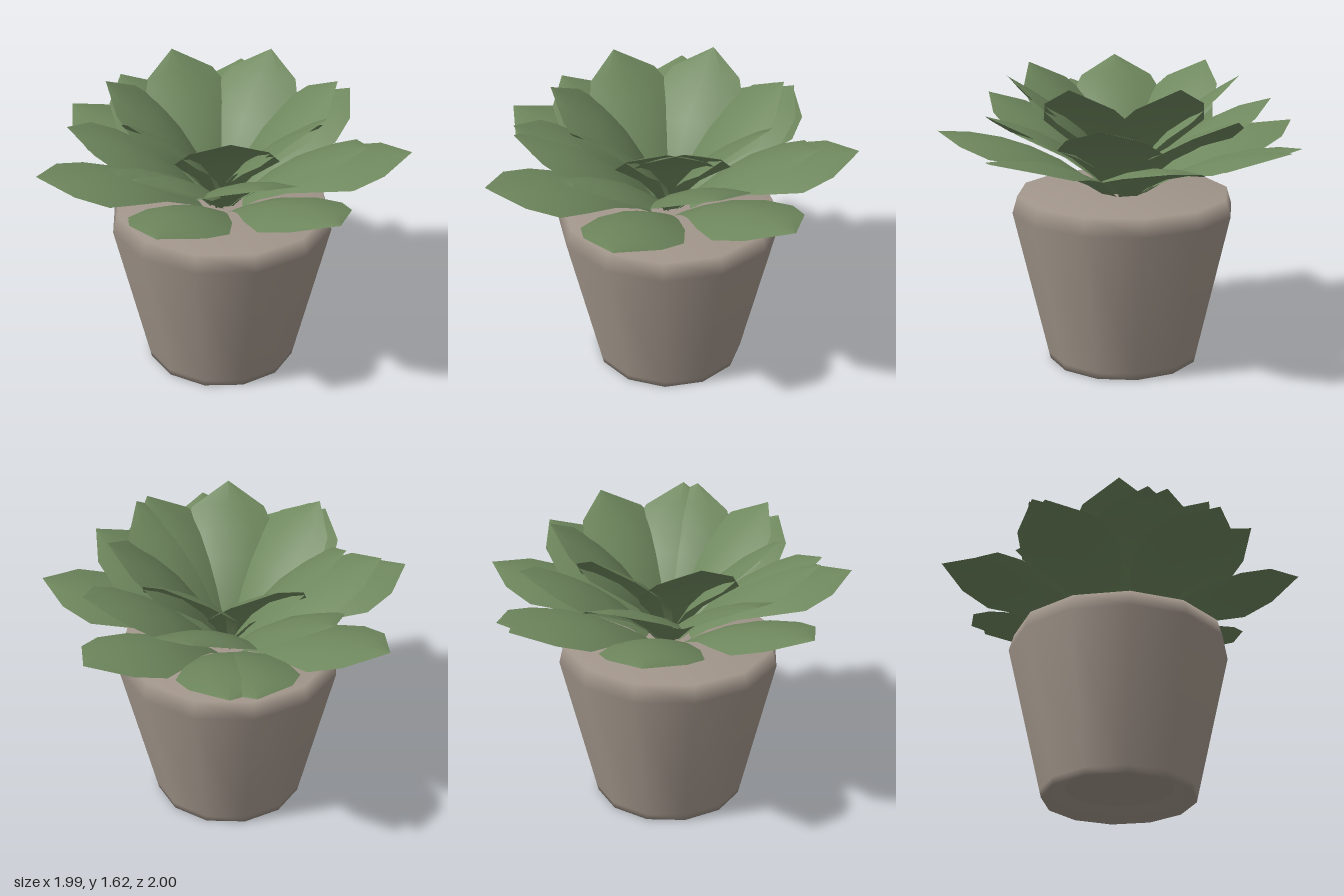
import * as THREE from 'three';

const leafGreen = new THREE.MeshStandardMaterial({ color: 0x6f885e, side: THREE.DoubleSide });
leafGreen.name = 'leafGreen';
const clay = new THREE.MeshStandardMaterial({ color: 0xa2968b });
clay.name = 'clay';

// Leaf outline: fraction along the length, half width
const OUTLINE = [[0, 0.04], [0.15, 0.08], [0.32, 0.15], [0.5, 0.23], [0.67, 0.27], [0.84, 0.2], [1, 0]];

// Arched pointed leaf in the xy plane, from (inset, 0) to (reach, rise), its edges drooping
function leafGeometry(inset, reach, rise) {
  const run = reach - inset;
  const length = Math.hypot(run, rise);
  const dx = run / length, dy = rise / length;
  const geo = new THREE.PlaneGeometry(1, 1, OUTLINE.length - 1, 4).rotateX(-Math.PI / 2);
  const pos = geo.attributes.position;
  for (let i = 0; i < pos.count; i++) {
    const [t, halfWidth] = OUTLINE[Math.round((pos.getX(i) + 0.5) * (OUTLINE.length - 1))];
    const side = pos.getZ(i) * 2 * halfWidth;
    const lift = 0.09 * Math.sin(Math.PI * t) - 0.8 * side * side;
    pos.setXYZ(i, inset + dx * t * length - dy * lift, dy * t * length + dx * lift, side);
  }
  geo.computeVertexNormals();
  return geo;
}

export function createModel() {
  const plant = new THREE.Group();
  plant.name = 'pottedSucculent';

  // Twelve-sided pot: shallow dished foot (the repeated point keeps its edge crisp), bevelled rim
  const profile = [
    [0, 0.065], [0.3, 0.065], [0.3, 0.065], [0.42, 0], [0.429, 0.04],
    [0.618, 0.86], [0.59, 0.955], [0, 0.955],
  ].map(([x, y]) => new THREE.Vector2(x, y));
  const pot = new THREE.Mesh(new THREE.LatheGeometry(profile, 12), clay);
  pot.name = 'pot';
  plant.add(pot);

  // Three whorls of eight leaves, each wound slightly past a full turn
  const whorls = [
    { name: 'outerLeaves', inset: 0.08, reach: 1.025, rise: 0.36, start: -77.6 },
    { name: 'middleLeaves', inset: 0.04, reach: 0.825, rise: 0.53, start: 145 },
    { name: 'innerLeaves', inset: 0, reach: 0.635, rise: 0.695, start: 58 },
  ];
  for (const { name, inset, reach, rise, start } of whorls) {
    const whorl = new THREE.Group();
    whorl.name = name;
    whorl.position.y = 0.93;
    const geo = leafGeometry(inset, reach, rise);
    for (let i = 0; i < 8; i++) {
      const leaf = new THREE.Mesh(geo, leafGreen);
      leaf.name = 'leaf';
      leaf.rotation.y = -THREE.MathUtils.degToRad(start - 52.5 * i);
      whorl.add(leaf);
    }
    plant.add(whorl);
  }

  // The pot axis sits slightly off the centre of the leaf spread
  plant.position.set(0.027, 0, 0.022);
  const model = new THREE.Group();
  model.name = 'model';
  model.add(plant);
  return model;
}
